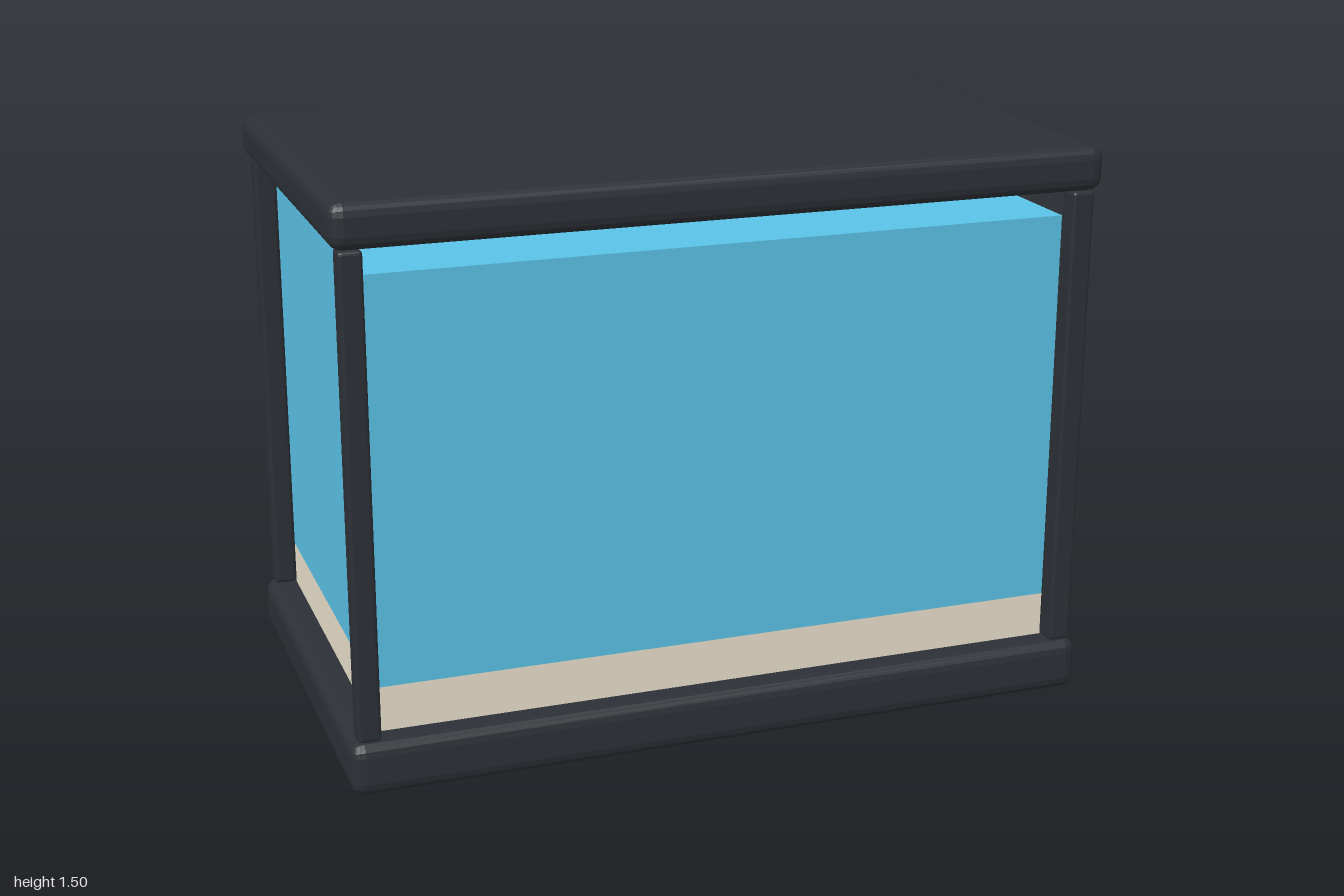
import * as THREE from 'three';
import { RoundedBoxGeometry } from 'three/addons/geometries/RoundedBoxGeometry.js';

const mat = (color, flatShading = false) => new THREE.MeshStandardMaterial({ color, flatShading });

export function createModel() {
  const tank = new THREE.Group();
  tank.name = 'aquarium';

  const frame = mat(0x2c3036, true);
  const water = mat(0x5ac2e6);
  const sand = mat(0xeae0cc);
  const lamp = mat(0xf6e2ac);

  // A block spanning y0..y1, with bevelled edges when a radius is given
  const block = (name, material, w, d, y0, y1, radius = 0, x = 0, z = 0) => {
    const h = y1 - y0;
    const geometry = radius
      ? new RoundedBoxGeometry(w, h, d, 2, radius)
      : new THREE.BoxGeometry(w, h, d);
    const mesh = new THREE.Mesh(geometry, material);
    mesh.name = name;
    mesh.position.set(x, (y0 + y1) / 2, z);
    tank.add(mesh);
  };

  // Base and lid
  block('base', frame, 2, 1.19, 0, 0.142, 0.035);
  block('lid', frame, 2, 1.19, 1.382, 1.5, 0.035);

  // Corner posts
  for (const sx of [-1, 1]) {
    for (const sz of [-1, 1]) {
      block('cornerPost', frame, 0.06, 0.06, 0.142, 1.382, 0.01, sx * 0.95, sz * 0.55);
    }
  }

  // Contents, set between the posts: gravel bed with water above it
  block('sandBed', sand, 1.842, 1.042, 0.14, 0.26);
  block('waterVolume', water, 1.842, 1.042, 0.26, 1.31);

  // Flat lamp panel under the lid
  block('lampPanel', lamp, 1.81, 1.0, 1.367, 1.385);

  return tank;
}
